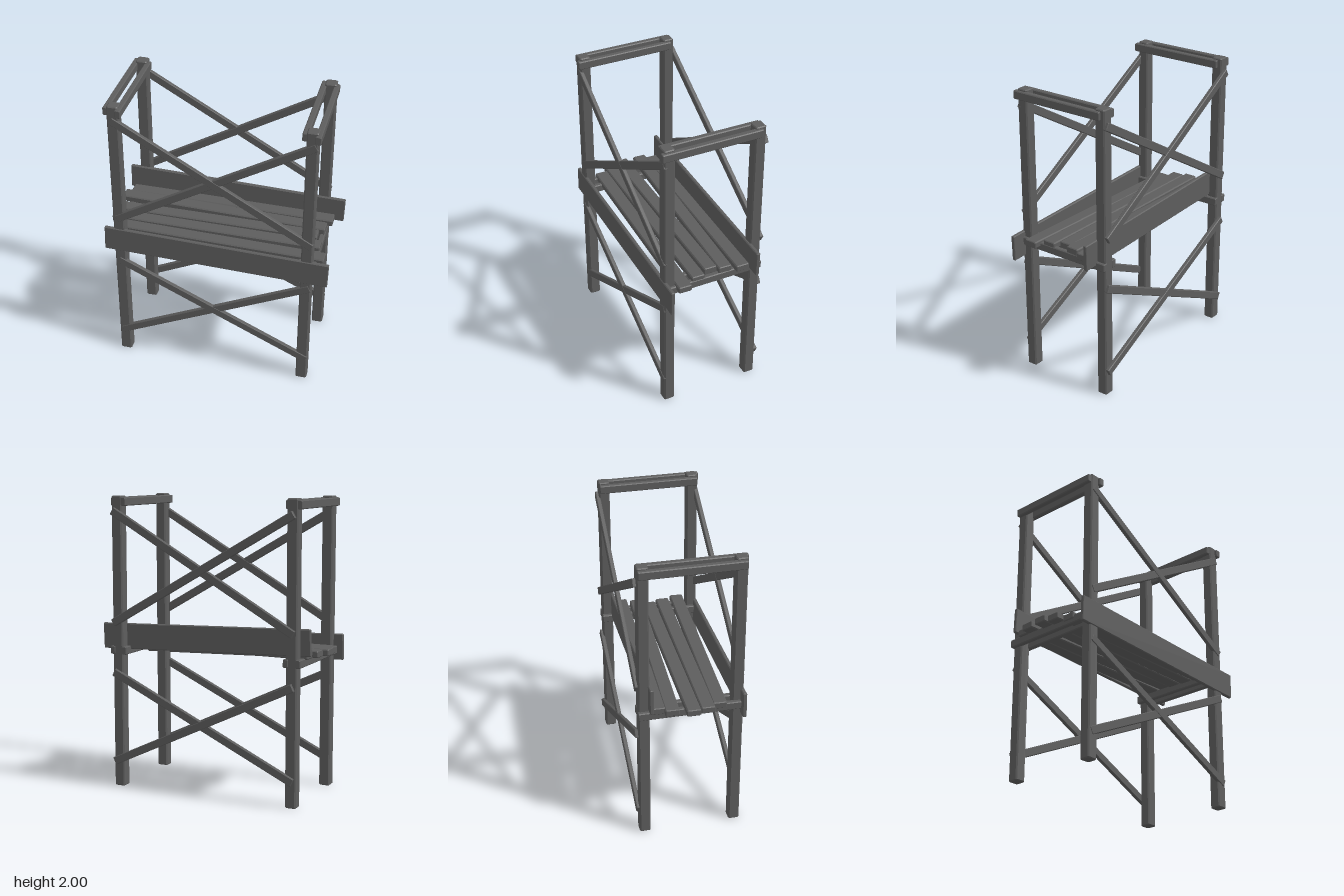
import * as THREE from 'three';

// Chamfered timber of the given length along X, height along Y, depth along Z
function timber(length, height, depth, c) {
  const h = height / 2 - c, d = depth / 2 - c, k = c * 0.8;
  const s = new THREE.Shape();
  s.moveTo(-d + k, -h);
  s.lineTo(d - k, -h);
  s.lineTo(d, -h + k);
  s.lineTo(d, h - k);
  s.lineTo(d - k, h);
  s.lineTo(-d + k, h);
  s.lineTo(-d, h - k);
  s.lineTo(-d, -h + k);
  s.closePath();
  const g = new THREE.ExtrudeGeometry(s, {
    depth: length - 2 * c, bevelEnabled: true, bevelSegments: 1, bevelSize: c, bevelThickness: c,
  });
  g.translate(0, 0, -length / 2 + c);
  g.rotateY(Math.PI / 2);
  return g;
}

export function createModel() {
  const model = new THREE.Group();
  model.name = 'timberBenchFrame';
  const wood = new THREE.MeshStandardMaterial({ name: 'weathered grey wood', color: 0x5d5d5d });

  // Lay a timber from point a to point b
  function beam(name, a, b, height, depth, chamfer) {
    const p = new THREE.Vector3(...a), q = new THREE.Vector3(...b);
    const dir = q.clone().sub(p);
    const mesh = new THREE.Mesh(timber(dir.length(), height, depth, chamfer), wood);
    mesh.name = name;
    mesh.position.copy(p).add(q).multiplyScalar(0.5);
    mesh.quaternion.setFromUnitVectors(new THREE.Vector3(1, 0, 0), dir.normalize());
    model.add(mesh);
  }

  // Four posts
  for (const x of [-0.645, 0.632])
    for (const z of [0.309, -0.307]) beam('post', [x, 0, z], [x, 2, z], 0.076, 0.074, 0.006);

  // Paired rails clamped on both sides of the posts, at the top and under the seat
  for (const [x, shift] of [[-0.69, 0], [-0.605, 0.024], [0.585, 0], [0.67, 0.024]]) {
    beam('topRail', [x, 1.96, -0.34 + shift], [x, 1.96, 0.34 + shift], 0.056, 0.038, 0.004);
    beam('seatSupport', [x, 0.952, -0.348], [x, 0.952, 0.345], 0.055, 0.036, 0.004);
  }

  // Crossed braces, front and back, above and below the seat
  for (const [z, step] of [[0.337, 0.002], [-0.351, -0.003]])
    for (const [low, high] of [[1.14, 1.9], [0.175, 0.8]]) {
      beam('crossBrace', [-0.66, high, z], [0.66, low, z], 0.054, 0.028, 0.003);
      beam('crossBrace', [-0.66, low, z - step], [0.66, high, z - step], 0.054, 0.028, 0.003);
    }

  // Seat slats: left x, left z, right x, right z, height of centre
  const slats = [
    [-0.725, -0.22, 0.718, -0.194, 0.995],
    [-0.765, -0.14, 0.685, -0.083, 0.997],
    [-0.785, -0.004, 0.645, 0.003, 0.99],
    [-0.765, 0.093, 0.685, 0.11, 0.985],
    [-0.715, 0.183, 0.734, 0.227, 0.975],
  ];
  for (const [x0, z0, x1, z1, y] of slats)
    beam('seatSlat', [x0, y, z0], [x1, y, z1], 0.046, 0.092, 0.005);

  // Sloping side boards in front of and behind the seat
  beam('frontBoard', [-0.75, 0.973, 0.338], [0.778, 0.927, 0.338], 0.178, 0.026, 0.004);
  beam('backBoard', [-0.75, 1.084, -0.269], [0.78, 1.038, -0.269], 0.176, 0.026, 0.004);

  return model;
}
